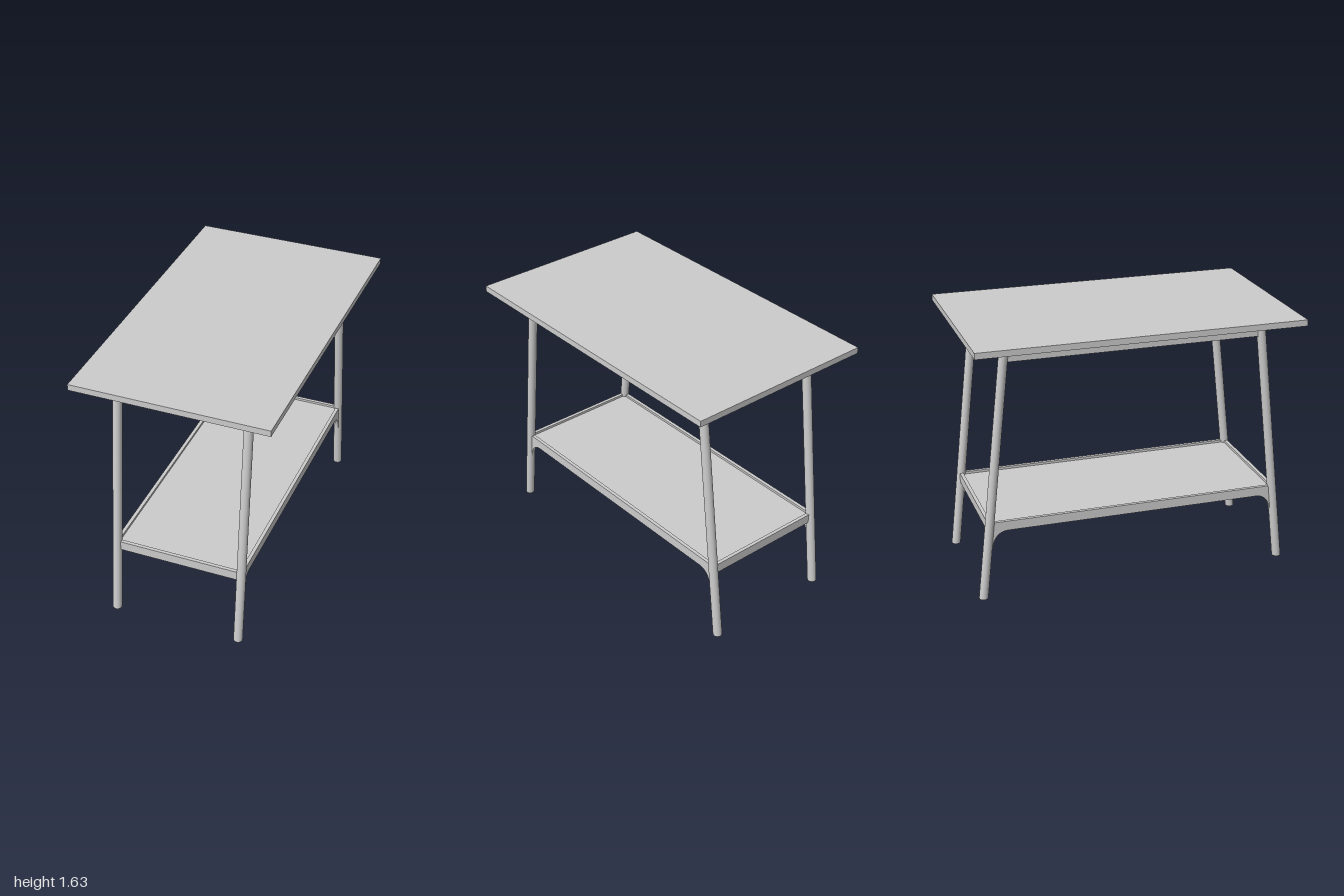
import * as THREE from 'three';

const material = new THREE.MeshStandardMaterial({ color: 0xcccccc });
const LEG_X = 0.398, LEG_R = 0.028, LEG_H = 1.59;
const RAIL_T = 0.022; // thickness of aprons and shelf rails

// Centre line of a splayed leg: z as a function of height
const legZ = (y) => 0.957 - (0.172 * y) / LEG_H;

export function createModel() {
  const group = new THREE.Group();
  group.name = 'sideTable';

  const add = (name, geometry, x = 0, y = 0, z = 0) => {
    const mesh = new THREE.Mesh(geometry, material);
    mesh.name = name;
    mesh.position.set(x, y, z);
    group.add(mesh);
    return mesh;
  };
  const box = (name, w, h, d, x, y, z) => add(name, new THREE.BoxGeometry(w, h, d), x, y, z);

  // Round leg with a softened foot, sheared so both ends stay horizontal
  const makeLeg = (side) => {
    const r = LEG_R;
    const profile = [[0, 0], [r - 0.006, 0], [r - 0.002, 0.002], [r, 0.006], [r, LEG_H]]
      .map(([x, y]) => new THREE.Vector2(x, y));
    const geometry = new THREE.LatheGeometry(profile, 32);
    const p = geometry.attributes.position;
    for (let i = 0; i < p.count; i++) p.setZ(i, p.getZ(i) + side * legZ(p.getY(i)));
    geometry.computeVertexNormals();
    return geometry;
  };

  // Side rail following the leg splay, with a curved bracket under each end
  const makeShelfRail = () => {
    const top = 0.497, bottom = 0.438, tip = 0.33;
    const s = new THREE.Shape();
    s.moveTo(-legZ(top), top);
    s.lineTo(-legZ(tip), tip);
    s.lineTo(-legZ(tip) + LEG_R, tip);
    s.bezierCurveTo(-0.888, 0.39, -0.855, bottom, -0.795, bottom);
    s.lineTo(0.795, bottom);
    s.bezierCurveTo(0.855, bottom, 0.888, 0.39, legZ(tip) - LEG_R, tip);
    s.lineTo(legZ(tip), tip);
    s.lineTo(legZ(top), top);
    s.closePath();
    const geometry = new THREE.ExtrudeGeometry(s, { depth: RAIL_T, bevelEnabled: false, curveSegments: 16 });
    geometry.translate(0, 0, -RAIL_T / 2);
    geometry.rotateY(Math.PI / 2);
    return geometry;
  };

  // Table top
  box('tableTop', 1.2, 0.038, 2, 0, 1.609, 0);

  // Legs
  for (const sx of [-1, 1]) {
    for (const sz of [-1, 1]) {
      const name = (sz > 0 ? 'front' : 'back') + (sx > 0 ? 'Left' : 'Right') + 'Leg';
      add(name, makeLeg(sz), sx * LEG_X);
    }
  }

  // Aprons under the top and rails around the shelf
  for (const s of [-1, 1]) {
    const end = s > 0 ? 'front' : 'back';
    const side = s > 0 ? 'left' : 'right';
    box(end + 'Apron', 2 * LEG_X, 0.1, RAIL_T, 0, 1.54, s * 0.79);
    box(side + 'Apron', RAIL_T, 0.1, 1.56, s * LEG_X, 1.54, 0);
    box(end + 'ShelfRail', 2 * LEG_X, 0.059, RAIL_T, 0, 0.4675, s * legZ(0.4675));
    add(side + 'ShelfRail', makeShelfRail(), s * LEG_X);
  }

  // Shelf panel set between its rails
  box('shelf', 2 * LEG_X - RAIL_T, 0.03, 2 * legZ(0.4675) - RAIL_T, 0, 0.467, 0);

  return group;
}
